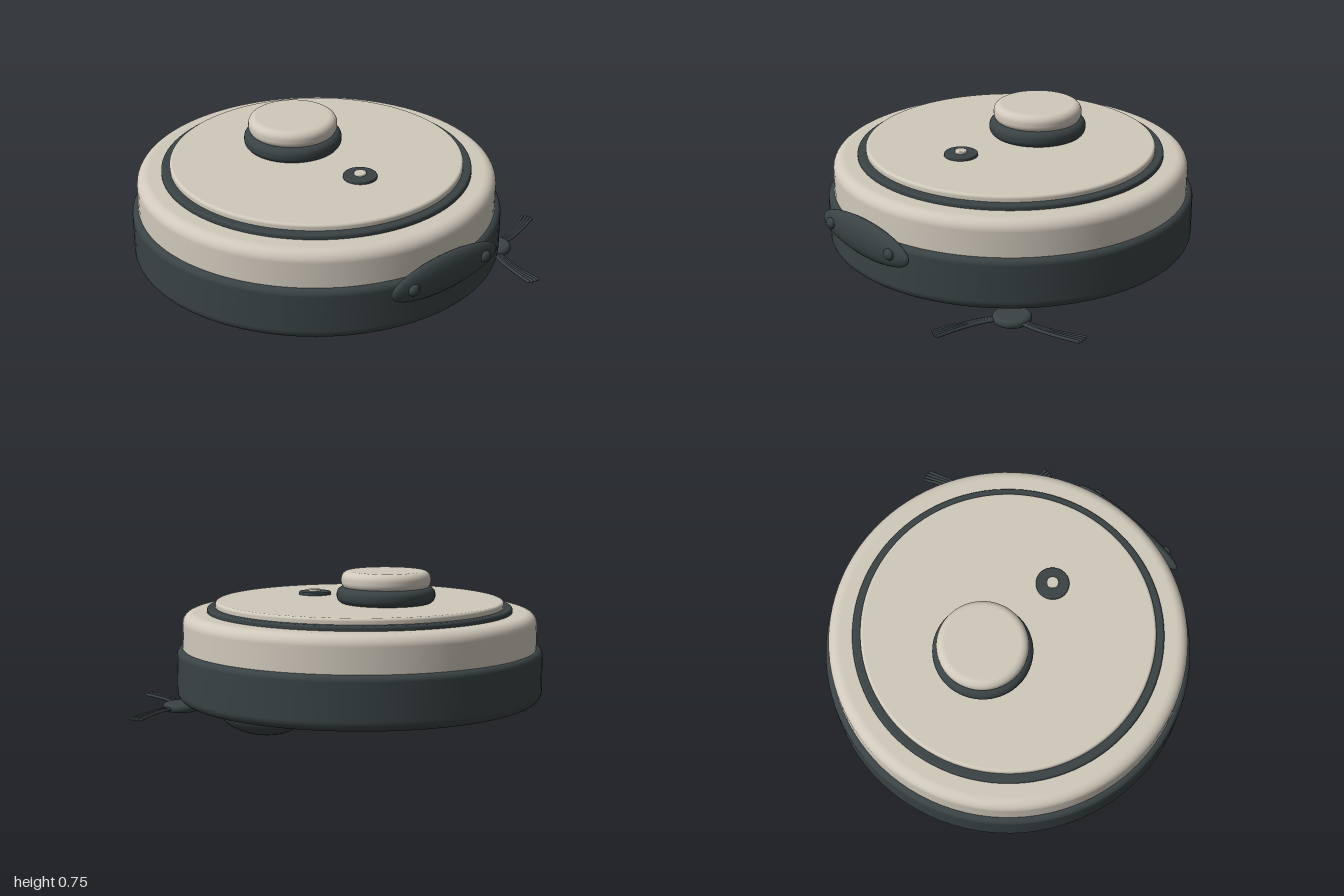
import * as THREE from 'three';

const CX = -0.08, CZ = -0.02; // axis of the round body

export function createModel() {
  const model = new THREE.Group();
  model.name = 'robotVacuum';
  const light = new THREE.MeshStandardMaterial({ color: 0xd0c9bb });
  light.name = 'warm light grey';
  const dark = new THREE.MeshStandardMaterial({ color: 0x394244 });
  dark.name = 'dark slate';

  function add(name, geometry, material, x, y, z, parent = model) {
    const mesh = new THREE.Mesh(geometry, material);
    mesh.name = name;
    mesh.position.set(x, y, z);
    parent.add(mesh);
    return mesh;
  }

  // Disc with rounded bottom and top edges
  function disc(r, y0, y1, rb, rt, segments = 96) {
    const pts = [[0, y0], [r - rb - 0.004, y0]];
    const steps = 8;
    for (let i = 0; i <= steps; i++) {
      const a = (i / steps) * Math.PI / 2;
      pts.push([r - rb + rb * Math.sin(a), y0 + rb - rb * Math.cos(a)]);
    }
    for (let i = 0; i <= steps; i++) {
      const a = (i / steps) * Math.PI / 2;
      pts.push([r - rt + rt * Math.cos(a), y1 - rt + rt * Math.sin(a)]);
    }
    pts.push([r - rt - 0.004, y1], [0, y1]);
    return new THREE.LatheGeometry(pts.map(p => new THREE.Vector2(...p)), segments);
  }

  function ellipsoid(rx, ry, rz) {
    return new THREE.SphereGeometry(1, 48, 24).scale(rx, ry, rz);
  }

  // Stacked round body
  add('lowerBody', disc(0.922, 0.09, 0.352, 0.05, 0.03), dark, CX, 0, CZ);
  add('upperBody', disc(0.892, 0.3, 0.532, 0.02, 0.055), light, CX, 0, CZ);
  add('lidRing', disc(0.769, 0.52, 0.556, 0.01, 0.012), dark, CX, 0, CZ);
  add('lid', disc(0.727, 0.54, 0.586, 0.01, 0.014), light, CX, 0, CZ);

  // Sensor turret
  add('turretBase', disc(0.245, 0.585, 0.666, 0.035, 0.035, 64), dark, CX, 0, -0.2);
  add('turretCap', disc(0.223, 0.655, 0.745, 0.038, 0.038, 64), light, CX, 0, -0.2);

  // Power button
  add('button', disc(0.083, 0.58, 0.602, 0.005, 0.006, 48), dark, CX, 0, 0.3);
  add('buttonDot', disc(0.03, 0.595, 0.614, 0.004, 0.005, 32), light, CX, 0, 0.3);

  // Front sensor window with two round eyes
  add('sensorWindow', ellipsoid(0.343, 0.094, 0.044), dark, CX, 0.316, 0.888);
  for (const s of [-1, 1]) {
    add(s < 0 ? 'rightSensor' : 'leftSensor', ellipsoid(0.031, 0.028, 0.02), dark, CX + s * 0.235, 0.322, 0.922);
    // Drive wheels bulging below the body
    add(s < 0 ? 'rightWheel' : 'leftWheel', ellipsoid(0.147, 0.1, 0.245), dark, CX + s * 0.69, 0.1, CZ);
  }

  // Side brush: hub with three tufts of bristles
  const brush = new THREE.Group();
  brush.name = 'sideBrush';
  brush.position.set(0.61, 0.055, 0.56);
  model.add(brush);
  add('brushHub', disc(0.093, -0.021, 0.021, 0.02, 0.02, 40), dark, 0, 0, 0, brush);
  const polar = (radius, deg, side, y) => {
    const a = THREE.MathUtils.degToRad(deg);
    return new THREE.Vector3(
      radius * Math.cos(a) - side * Math.sin(a), y,
      radius * Math.sin(a) + side * Math.cos(a));
  };
  for (let t = 0; t < 3; t++) {
    const angle = -14.5 + t * 120;
    for (let b = 0; b < 4; b++) {
      const f = b - 1.5;
      const path = new THREE.CatmullRomCurve3([
        polar(0.05, angle + 16, f * 0.007, 0),
        polar(0.15, angle + 9, f * 0.01, 0),
        polar(0.26, angle + 4, f * 0.013, 0),
        polar(0.388 - Math.abs(f) * 0.004, angle, f * 0.018, 0),
      ]);
      add('bristle', new THREE.TubeGeometry(path, 12, 0.008, 8), dark, 0, 0, 0, brush);
      // Closed bristle tip
      const tip = path.getPoint(1);
      add('bristleTip', new THREE.SphereGeometry(0.008, 8, 6), dark, tip.x, tip.y, tip.z, brush);
    }
  }

  return model;
}
